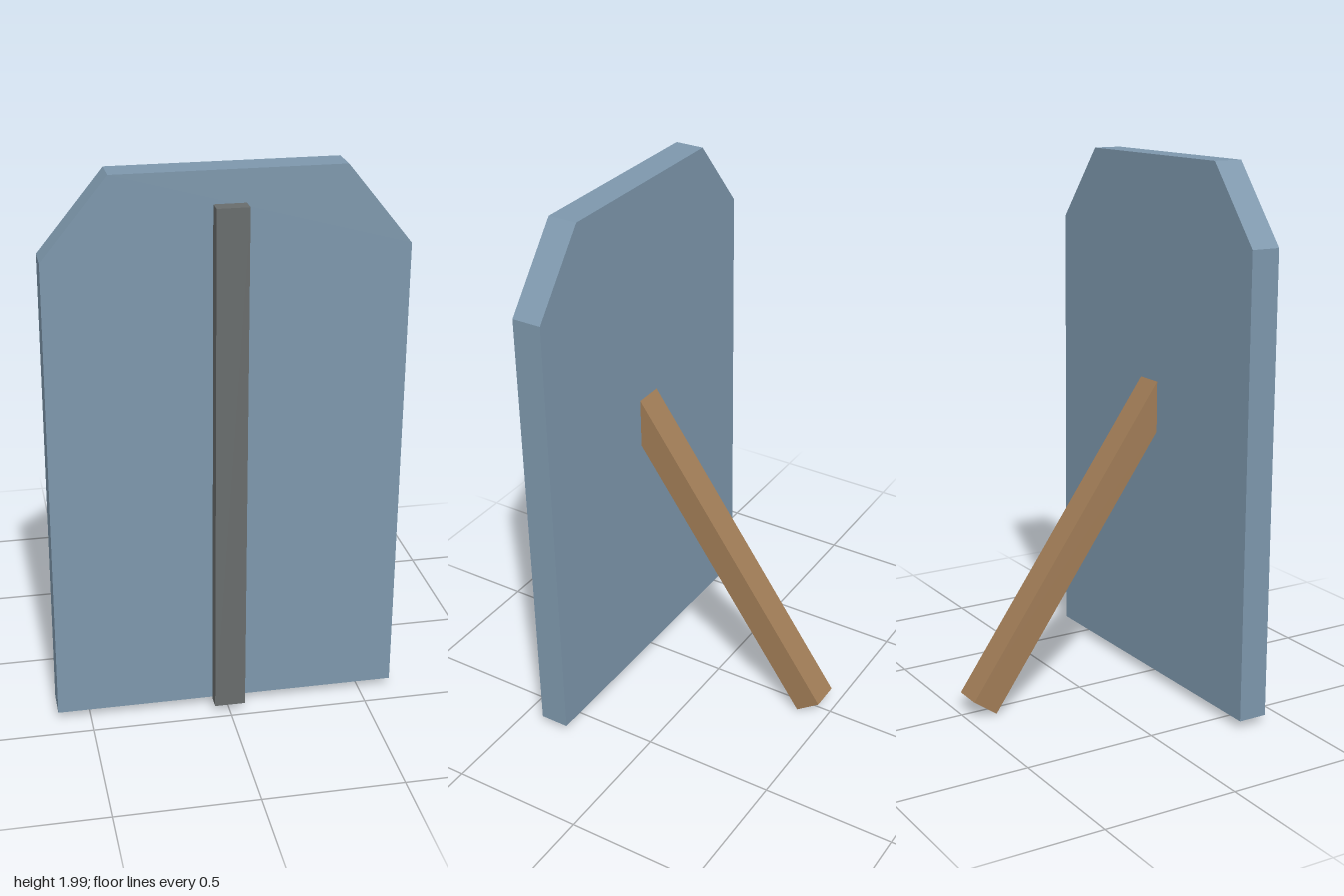
import * as THREE from 'three';

export function createModel() {
  const group = new THREE.Group();
  const add = (name, geometry, color) => {
    const mesh = new THREE.Mesh(geometry, new THREE.MeshStandardMaterial({ color, flatShading: true }));
    mesh.name = name;
    group.add(mesh);
    return mesh;
  };

  // Upright board with two chamfered top corners
  const outline = new THREE.Shape([
    [-0.617, 0.035], [0.617, 0.035], [0.617, 1.722],
    [0.392, 2], [-0.392, 2], [-0.617, 1.722],
  ].map(([x, y]) => new THREE.Vector2(x, y)));
  const board = add('board', new THREE.ExtrudeGeometry(outline, { depth: 0.11, bevelEnabled: false }), 0x7d97ac);
  board.position.z = 0.302;

  // Vertical strip standing just clear of the board's front
  const strip = add('frontStrip', new THREE.BoxGeometry(0.11, 1.855, 0.055), 0x686c6c);
  strip.position.set(0, 0.9625, 0.4475);

  // Sloping prop, its upper end sunk into the board
  const foot = new THREE.Vector3(0, 0.037, -0.43);
  const head = new THREE.Vector3(0, 1.152, 0.355);
  const prop = add('rearProp', new THREE.BoxGeometry(0.11, foot.distanceTo(head), 0.11), 0xa07c56);
  prop.position.lerpVectors(foot, head, 0.5);
  prop.rotation.x = Math.atan2(head.z - foot.z, head.y - foot.y);

  return group;
}
